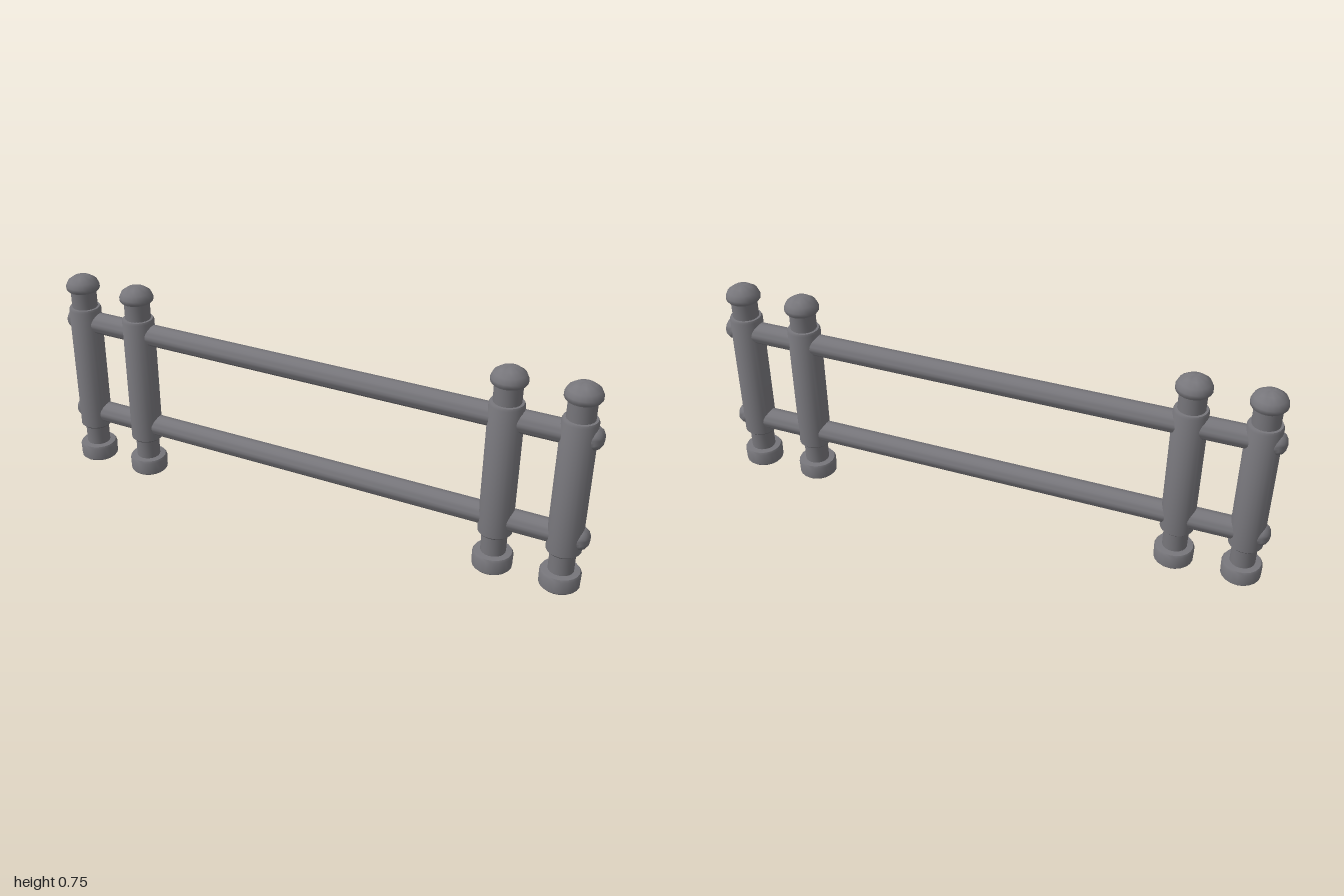
import * as THREE from 'three';
import { toCreasedNormals } from 'three/addons/utils/BufferGeometryUtils.js';

const iron = new THREE.MeshStandardMaterial({ color: 0x77767b });
iron.name = 'grey iron';

// Turned part from [radius, height] pairs, bottom to top
function turned(name, profile, sides) {
  const points = profile.map(([r, y]) => new THREE.Vector2(r, y));
  const geometry = toCreasedNormals(new THREE.LatheGeometry(points, sides), 0.75);
  const mesh = new THREE.Mesh(geometry, iron);
  mesh.name = name;
  return mesh;
}

// Post: foot, narrow necks, thick shaft and mushroom cap
function createPost(x) {
  const post = new THREE.Group();
  post.name = 'post';
  post.add(
    turned('foot', [[0, 0], [0.062, 0], [0.068, 0.006], [0.069, 0.052], [0.064, 0.06], [0.042, 0.062]], 20),
    turned('lowerNeck', [[0.043, 0.055], [0.043, 0.145]], 20),
    turned('shaft', [[0.04, 0.134], [0.05, 0.135], [0.058, 0.143], [0.058, 0.618], [0.054, 0.626], [0.04, 0.627]], 24),
    turned('upperNeck', [[0.046, 0.615], [0.046, 0.7]], 20),
    turned('cap', [[0.04, 0.69], [0.055, 0.691], [0.06, 0.698], [0.06, 0.71], [0.052, 0.727], [0.032, 0.741], [0.012, 0.747], [0, 0.747]], 20)
  );
  post.position.x = x;
  return post;
}

// Horizontal rail with rounded ends poking through the outer posts
function createRail(name, y) {
  const half = [[0.039, 0.96], [0.038, 0.976], [0.031, 0.989], [0.018, 0.997], [0, 1]];
  const lower = half.map(([r, h]) => [r, -h]).reverse();
  const rail = turned(name, [...lower, ...half], 24);
  rail.rotation.z = -Math.PI / 2;
  rail.position.set(0, y, -0.004);
  return rail;
}

export function createModel() {
  const model = new THREE.Group();
  model.name = 'railing';
  for (const x of [-0.923, -0.69, 0.688, 0.92]) model.add(createPost(x));
  model.add(createRail('upperRail', 0.566), createRail('lowerRail', 0.195));
  return model;
}
